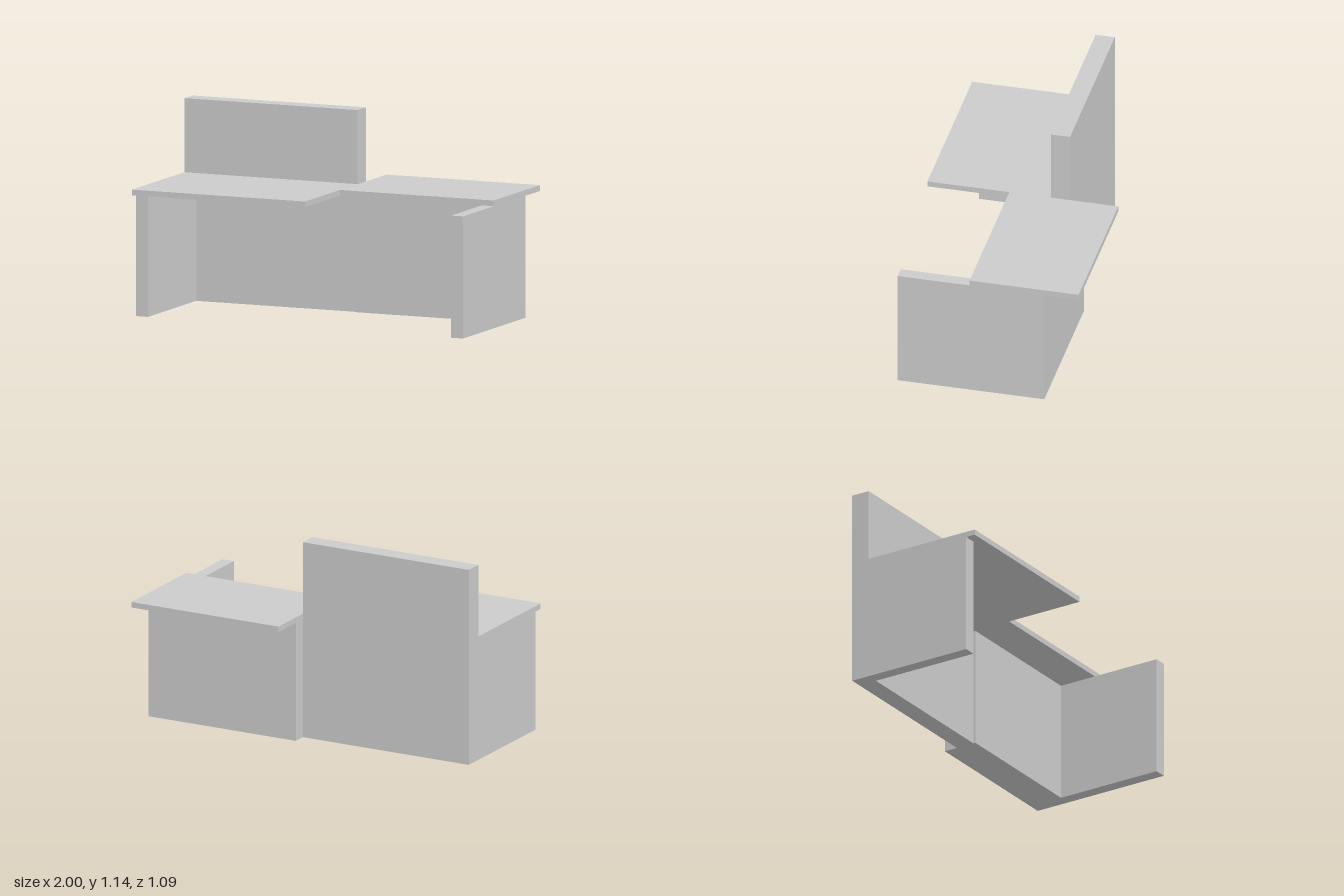
import * as THREE from 'three';

const material = new THREE.MeshStandardMaterial({ color: 0xcccccc, flatShading: true });

// Box given by its limits along each axis
function panel(name, [x0, x1], [y0, y1], [z0, z1]) {
  const mesh = new THREE.Mesh(new THREE.BoxGeometry(x1 - x0, y1 - y0, z1 - z0), material);
  mesh.position.set((x0 + x1) / 2, (y0 + y1) / 2, (z0 + z1) / 2);
  mesh.name = name;
  return mesh;
}

export function createModel() {
  const desk = new THREE.Group();
  desk.name = 'receptionDesk';

  const split = 0.06;       // where the two halves meet
  const under = 0.688;      // underside of the worktop
  const top = 0.72;         // upper face of the worktop
  const screenFront = -0.16;

  // Stepped worktop, outlined in plan (x, -z) and laid flat
  const outline = new THREE.Shape([
    [-1, -0.547], [split, -0.547], [split, -0.078], [1, -0.078],
    [1, 0.547], [split, 0.547], [split, -screenFront], [-1, -screenFront],
  ].map(([x, y]) => new THREE.Vector2(x, y)));
  const worktop = new THREE.Mesh(
    new THREE.ExtrudeGeometry(outline, { depth: top - under, bevelEnabled: false }), material);
  worktop.rotation.x = -Math.PI / 2;
  worktop.position.y = under;
  worktop.name = 'worktop';
  desk.add(worktop);

  // Tall screen behind one half, low back panel behind the other
  desk.add(panel('tallScreen', [-1, split], [0, 1.137], [-0.27, screenFront]));
  desk.add(panel('backPanel', [split, 1], [0, under], [-0.35, -0.147]));

  // End panels
  desk.add(panel('rightEndPanel', [-1, -0.927], [0, under], [screenFront, 0.49]));
  desk.add(panel('leftEndPanel', [0.927, 1], [0, under], [-0.147, 0.49]));

  return desk;
}
